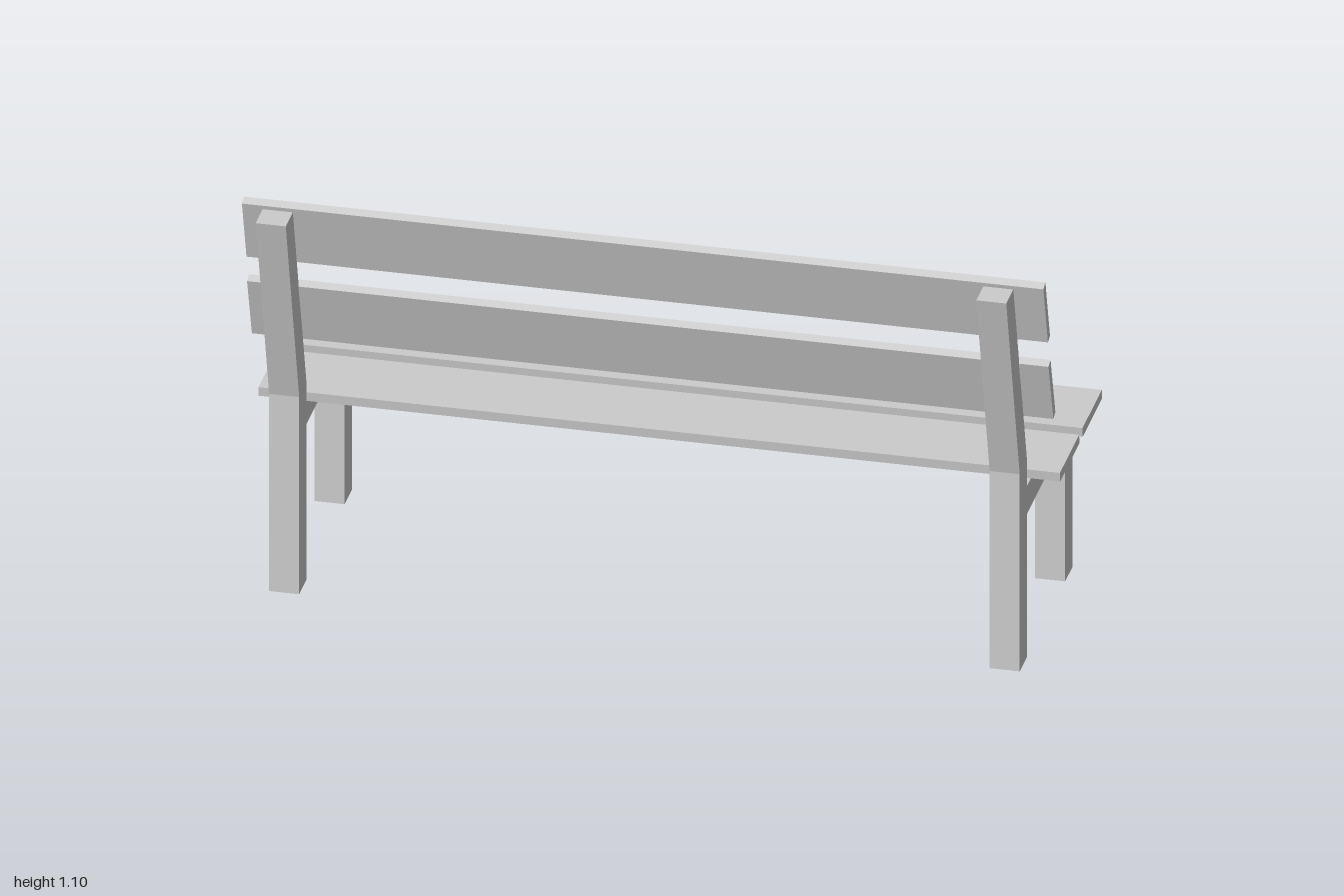
import * as THREE from 'three';

const material = new THREE.MeshStandardMaterial({ color: 0xcccccc, flatShading: true });

// Extrudes a side outline of [z, y] points along x, between x0 and x1.
function beam(name, outline, x0, x1) {
  const shape = new THREE.Shape(outline.map(([z, y]) => new THREE.Vector2(z, y)));
  const geometry = new THREE.ExtrudeGeometry(shape, { depth: x1 - x0, bevelEnabled: false });
  geometry.rotateY(-Math.PI / 2);
  geometry.translate(x1, 0, 0);
  const mesh = new THREE.Mesh(geometry, material);
  mesh.name = name;
  return mesh;
}

const rect = (z0, z1, y0, y1) => [[z0, y0], [z1, y0], [z1, y1], [z0, y1]];

export function createModel() {
  const bench = new THREE.Group();
  bench.name = 'bench';

  // End frames: bent back post, front leg and the rail joining them
  const post = [[0.135, 0], [0.212, 0], [0.212, 0.54], [0.356, 1.08], [0.28, 1.08], [0.135, 0.545]];
  const frames = [
    { name: 'rightFrame', legX: -0.947, railX: -0.962 },
    { name: 'leftFrame', legX: 0.851, railX: 0.851 },
  ];
  for (const { name, legX, railX } of frames) {
    const frame = new THREE.Group();
    frame.name = name;
    frame.add(
      beam('backPost', post, legX, legX + 0.075),
      beam('frontLeg', rect(-0.354, -0.276, 0, 0.47), legX, legX + 0.075),
      beam('seatRail', rect(-0.276, 0.135, 0.392, 0.468), railX, railX + 0.075),
    );
    bench.add(frame);
  }

  // Seat planks, with slightly slanted edges
  for (const [name, z] of [['frontSeatPlank', -0.354], ['rearSeatPlank', -0.111]]) {
    bench.add(beam(name, [[z, 0.47], [z + 0.207, 0.47], [z + 0.21, 0.495], [z + 0.003, 0.495]], -1, 1));
  }

  // Leaning backrest slats
  bench.add(
    beam('upperBackSlat', [[0.205, 0.924], [0.227, 0.917], [0.276, 1.087], [0.254, 1.095]], -1, 1),
    beam('lowerBackSlat', [[0.147, 0.686], [0.169, 0.678], [0.221, 0.847], [0.199, 0.855]], -1, 1),
  );

  return bench;
}
